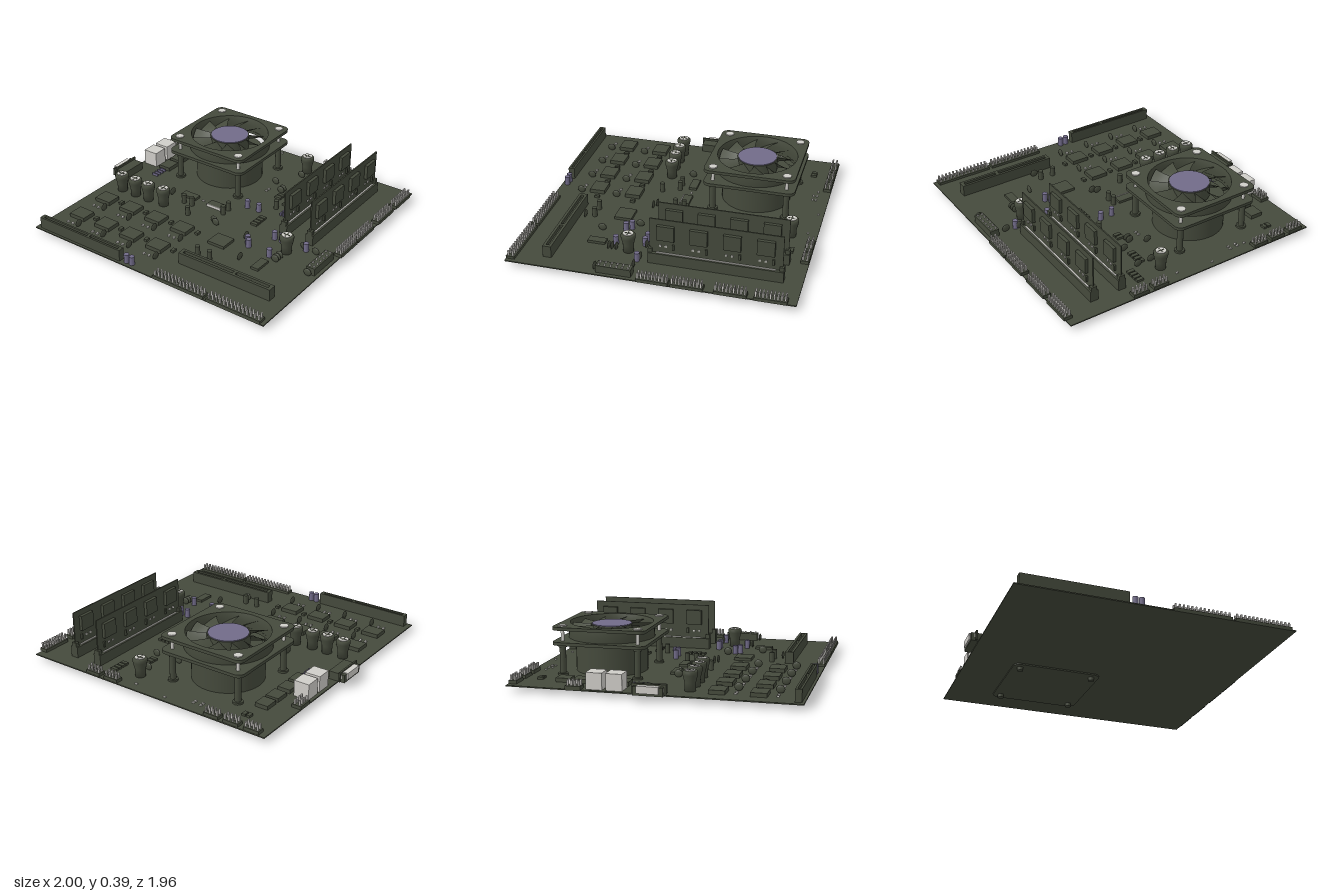
import * as THREE from 'three';

const olive = new THREE.MeshStandardMaterial({ color: 0x454a3c });
const silver = new THREE.MeshStandardMaterial({ color: 0xcfcdc8 });
const purple = new THREE.MeshStandardMaterial({ color: 0x716b89 });
const oliveThin = olive.clone();
oliveThin.side = THREE.DoubleSide;
olive.name = 'olive'; oliveThin.name = 'olive sheet'; silver.name = 'silver'; purple.name = 'purple';

const TOP = 0.042; // upper face of the board

function add(parent, name, geo, mat, x = 0, y = 0, z = 0) {
  const m = new THREE.Mesh(geo, mat);
  m.name = name;
  m.position.set(x, y, z);
  parent.add(m);
  return m;
}
// box given by its centre in plan and its bottom and top heights
const box = (p, name, mat, x, z, w, d, y0, y1) =>
  add(p, name, new THREE.BoxGeometry(w, y1 - y0, d), mat, x, (y0 + y1) / 2, z);
const rod = (p, name, mat, x, z, r, y0, y1, n = 12, r2 = r) =>
  add(p, name, new THREE.CylinderGeometry(r2, r, y1 - y0, n), mat, x, (y0 + y1) / 2, z);
function group(parent, name, x = 0, z = 0) {
  const g = new THREE.Group();
  g.name = name;
  g.position.set(x, 0, z);
  parent.add(g);
  return g;
}

// rounded square plate lying flat, with an optional round hole
function plate(size, corner, hole, thick) {
  const h = size / 2, c = h - corner, s = new THREE.Shape();
  s.absarc(c, c, corner, 0, Math.PI / 2);
  s.absarc(-c, c, corner, Math.PI / 2, Math.PI);
  s.absarc(-c, -c, corner, Math.PI, Math.PI * 1.5);
  s.absarc(c, -c, corner, Math.PI * 1.5, Math.PI * 2);
  if (hole) s.holes.push(new THREE.Path().absarc(0, 0, hole, 0, Math.PI * 2, true));
  const g = new THREE.ExtrudeGeometry(s, { depth: thick, bevelEnabled: false, curveSegments: 24 });
  return g.rotateX(-Math.PI / 2);
}

// pitched fan blade, swept from a plane
function blade(start) {
  const g = new THREE.PlaneGeometry(1, 1, 3, 5), p = g.attributes.position;
  for (let i = 0; i < p.count; i++) {
    const u = p.getX(i) + 0.5, v = p.getY(i) + 0.5;
    const r = 0.14 + 0.138 * u, a = start + v * 0.53 + 0.12 * u;
    p.setXYZ(i, r * Math.cos(a), 0.285 + 0.075 * v, r * Math.sin(a));
  }
  g.computeVertexNormals();
  return g;
}

function buildFan(root) {
  const fan = group(root, 'coolingFan', -0.3, -0.455);
  add(fan, 'basePlate', plate(0.64, 0.05, 0, 0.014), olive, 0, 0.024, 0);
  rod(fan, 'heatSink', olive, 0, 0, 0.25, TOP, 0.25, 48);
  add(fan, 'lowerFlange', plate(0.655, 0.05, 0.285, 0.022), olive, 0, 0.254, 0);
  add(fan, 'upperFlange', plate(0.655, 0.05, 0.288, 0.022), olive, 0, 0.357, 0);
  const wall = [[0.288, 0.255], [0.302, 0.255], [0.297, 0.316], [0.302, 0.378], [0.288, 0.378], [0.284, 0.316], [0.288, 0.255]];
  add(fan, 'shroud', new THREE.LatheGeometry(wall.map(q => new THREE.Vector2(...q)), 48), oliveThin);
  rod(fan, 'hub', olive, 0, 0, 0.145, 0.27, 0.362, 40);
  rod(fan, 'hubCap', purple, 0, 0, 0.138, 0.362, 0.367, 40);
  for (let i = 0; i < 11; i++) add(fan, 'blade', blade(i * Math.PI * 2 / 11), oliveThin);
  for (const sx of [-0.265, 0.265]) for (const sz of [-0.265, 0.265]) {
    rod(fan, 'post', olive, sx, sz, 0.022, TOP, 0.255);
    rod(fan, 'postFoot', olive, sx, sz, 0.036, TOP, 0.056);
    rod(fan, 'postCollar', olive, sx, sz, 0.03, 0.235, 0.254);
    rod(fan, 'spacer', silver, sx, sz, 0.012, 0.276, 0.357);
    rod(fan, 'screwHead', silver, sx, sz, 0.03, 0.379, 0.386, 18);
    rod(fan, 'mountingBolt', olive, sx, sz, 0.022, 0, 0.026);
  }
}

function buildMemory(root, x) {
  const ram = group(root, 'memoryModule', x, -0.4);
  box(ram, 'memorySlot', olive, 0, 0, 0.058, 0.91, TOP, 0.12);
  for (const s of [-1, 1]) {
    box(ram, 'slotLatch', olive, 0, s * 0.44, 0.04, 0.03, 0.12, 0.15);
    box(ram, 'slotContacts', silver, s * 0.012, 0, 0.01, 0.8, 0.12, 0.125);
  }
  box(ram, 'memoryCard', olive, 0, 0, 0.009, 0.89, 0.1, 0.373);
  for (let i = 0; i < 4; i++) for (const s of [-1, 1]) {
    const z = 0.333 - i * 0.222;
    box(ram, 'memoryChip', olive, s * 0.016, z, 0.023, 0.117, 0.225, 0.333);
    for (const dz of [0.035, 0.075]) box(ram, 'cardResistor', silver, s * 0.007, z + dz - 0.035, 0.008, 0.015, 0.168, 0.18);
    box(ram, 'cardCapacitor', olive, s * 0.01, z - 0.05, 0.014, 0.014, 0.155, 0.195);
  }
}

// pin header: dark base with a grid of silver pins
function header(root, x, z, w, d, nx, nz, baseTop, pinTop) {
  const h = group(root, 'pinHeader', x, z);
  box(h, 'headerBase', olive, 0, 0, w, d, TOP, baseTop);
  for (let i = 0; i < nx; i++) for (let j = 0; j < nz; j++)
    box(h, 'pin', silver, w * ((i + 0.5) / nx - 0.5), d * ((j + 0.5) / nz - 0.5), 0.011, 0.011, baseTop, pinTop);
}

// long expansion slot with a groove between two walls
function expansionSlot(root, x, z, w, d) {
  const s = group(root, 'expansionSlot', x, z);
  box(s, 'slotFloor', olive, 0, 0, w, d, TOP, 0.1);
  for (const k of [-1, 1]) {
    box(s, 'slotWall', olive, 0, k * d * 0.35, w, d * 0.3, 0.1, 0.126);
    box(s, 'slotEnd', olive, k * (w / 2 - 0.012), 0, 0.024, d, 0.1, 0.126);
  }
  box(s, 'slotKey', olive, w * 0.1, 0, 0.02, d, 0.1, 0.126);
}

function capacitor(root, x, z) {
  const c = group(root, 'capacitor', x, z);
  const pts = [[0, 0.042], [0.036, 0.042], [0.038, 0.1], [0.05, 0.15], [0.05, 0.17], [0.043, 0.178], [0, 0.178]];
  add(c, 'can', new THREE.LatheGeometry(pts.map(q => new THREE.Vector2(...q)), 20), olive);
  rod(c, 'canTop', silver, 0, 0, 0.034, 0.178, 0.182, 18);
  box(c, 'ventLine', olive, 0, 0, 0.05, 0.006, 0.182, 0.184);
  box(c, 'ventLine', olive, 0, 0, 0.006, 0.05, 0.182, 0.184);
}

// flattened disc capacitor standing on edge; turn = true runs it along z
function disc(root, x, z, turn) {
  const m = add(root, 'discCapacitor', new THREE.SphereGeometry(0.03, 12, 8), olive, x, 0.068, z);
  m.scale.set(turn ? 0.3 : 1, 0.9, turn ? 1 : 0.3);
}

export function createModel() {
  const root = new THREE.Group();
  root.name = 'circuitBoard';
  box(root, 'board', olive, 0.02, 0, 1.924, 1.96, 0.034, TOP);
  buildFan(root);
  buildMemory(root, 0.52);
  buildMemory(root, 0.73);

  // expansion slots at the front
  expansionSlot(root, -0.545, 0.94, 0.72, 0.045);
  expansionSlot(root, 0.51, 0.72, 0.725, 0.06);

  // headers along the front, right, back and left edges
  header(root, 0.315, 0.95, 0.41, 0.06, 14, 2, 0.06, 0.095);
  header(root, 0.75, 0.95, 0.41, 0.06, 14, 2, 0.06, 0.095);
  for (const z of [-0.815, -0.555, -0.27, -0.04]) header(root, 0.965, z, 0.06, 0.215, 2, 9, 0.065, 0.105);
  header(root, 0.925, 0.23, 0.065, 0.24, 2, 6, 0.095, 0.105);
  for (const x of [-0.84, -0.685, -0.535, 0.295, 0.45]) header(root, x, -0.95, 0.115, 0.055, 4, 2, 0.065, 0.1);
  header(root, -0.91, -0.515, 0.07, 0.105, 2, 4, 0.065, 0.1);

  // sockets on the left edge
  for (const z of [-0.38, -0.245]) box(root, 'portSocket', silver, -0.862, z, 0.112, 0.11, TOP, 0.155);
  const port = group(root, 'displayPort', -0.93, 0);
  box(port, 'portBody', olive, 0, 0, 0.12, 0.2, TOP, 0.1);
  box(port, 'portFlange', olive, -0.026, 0, 0.012, 0.23, 0.046, 0.115);
  box(port, 'portShell', silver, -0.05, 0, 0.04, 0.145, 0.058, 0.106);
  for (const z of [-0.09, 0.09]) rod(port, 'portScrew', silver, -0.036, z, 0.012, 0.068, 0.092, 6);

  // flat chips: x, z, width, depth, top
  const chips = [
    [0.225, 0.38, 0.135, 0.125, 0.062], [0.6, 0.46, 0.058, 0.125, 0.06],
    [-0.315, 0.015, 0.13, 0.058, 0.06], [-0.08, 0.015, 0.125, 0.062, 0.06],
    [-0.727, -0.645, 0.095, 0.1, 0.07], [-0.727, -0.52, 0.095, 0.105, 0.07],
    [-0.727, -0.38, 0.095, 0.105, 0.07], [-0.727, -0.245, 0.095, 0.11, 0.07],
  ];
  for (const [x, z, w, d, y] of chips) box(root, 'chip', olive, x, z, w, d, TOP, y);
  box(root, 'chipEdge', silver, -0.08, 0.05, 0.12, 0.006, TOP, 0.062);

  // power stage repeated in two rows of four
  for (const x of [-0.778, -0.548, -0.318, -0.085]) for (const z of [0.41, 0.68]) {
    box(root, 'powerChip', olive, x, z, 0.13, 0.11, TOP, 0.07);
    for (const dx of [-0.025, 0.018]) box(root, 'solderPad', silver, x + dx, z + 0.117, 0.014, 0.018, TOP, 0.052);
    disc(root, x + 0.075, z + 0.117, true);
    box(root, 'smallPart', olive, x + 0.118, z - 0.02, 0.024, 0.034, TOP, 0.06);
  }

  // tall round capacitors
  for (const [x, z] of [[-0.787, 0.227], [-0.66, 0.227], [-0.54, 0.227], [-0.407, 0.217], [0.18, -0.8], [0.655, 0.22]])
    capacitor(root, x, z);

  // small purple and dark cylinders
  for (const [x, z] of [[0.11, -0.105], [0.205, -0.11], [0.5, 0.13], [0.56, 0.13], [0.755, 0.13], [0.38, 0.28],
    [0.41, 0.315], [0.59, 0.33], [-0.14, 0.94], [-0.095, 0.94]])
    rod(root, 'purpleCapacitor', purple, x, z, 0.019, TOP, 0.105, 12);
  for (const [x, z] of [[0.185, 0.59], [0.285, 0.59], [-0.235, 0.105], [-0.305, 0.105], [0.02, 0.07], [0.02, 0.005],
    [0.285, -0.215], [-0.18, 0.225]])
    rod(root, 'smallCapacitor', olive, x, z, 0.018, TOP, 0.11, 12);
  for (let i = 0; i < 4; i++) box(root, 'purpleStrip', purple, -0.727, -0.17 + i * 0.03, 0.05, 0.01, TOP, 0.06);
  for (let i = 0; i < 3; i++) for (const z of [-0.185, -0.155])
    box(root, 'purpleLead', purple, 0.365 + i * 0.02, z, 0.01, 0.02, TOP, 0.065);

  // disc capacitors
  for (const [x, z] of [[0.19, -0.705], [0.295, -0.705], [0.085, -0.51], [0.275, -0.51], [0.19, -0.45], [0.19, -0.42],
    [0.035, 0.2], [0.065, 0.222], [0.58, 0.115], [0.73, 0.115], [0.83, 0.13], [0.655, 0.305], [0.655, 0.335],
    [0.655, 0.36], [0.31, 0.65], [0.915, 0.37]]) disc(root, x, z, false);
  for (const [x, z] of [[0.335, 0.235], [0.45, 0.475], [-0.445, 0.06]]) disc(root, x, z, true);

  // rows of small resistors: x, z, count, step x, step z
  for (const [x, z, n, dx, dz] of [[0.375, -0.84, 4, 0, 0.034], [0.255, -0.675, 4, 0, 0.034], [0.285, 0.0, 4, 0, -0.034 + 0.068],
    [0.31, -0.295, 4, 0.033, 0], [0.22, -0.375, 2, 0, 0.034], [-0.725, -0.82, 2, 0.035, 0]])
    for (let i = 0; i < n; i++)
      box(root, 'resistor', olive, x + i * dx, z + i * dz - (x === 0.285 ? 0.04 : 0), dx ? 0.026 : 0.05, dx ? 0.04 : 0.026, TOP, 0.058);

  // bare solder pads
  for (const [x, z] of [[-0.455, -0.89], [-0.395, -0.89], [-0.335, -0.89], [-0.395, -0.865], [-0.335, -0.865],
    [-0.14, -0.94], [0.125, -0.91], [0.09, -0.41], [0.09, -0.38], [-0.2, 0.01]])
    box(root, 'solderPad', silver, x, z, 0.018, 0.012, TOP, 0.05);
  return root;
}
